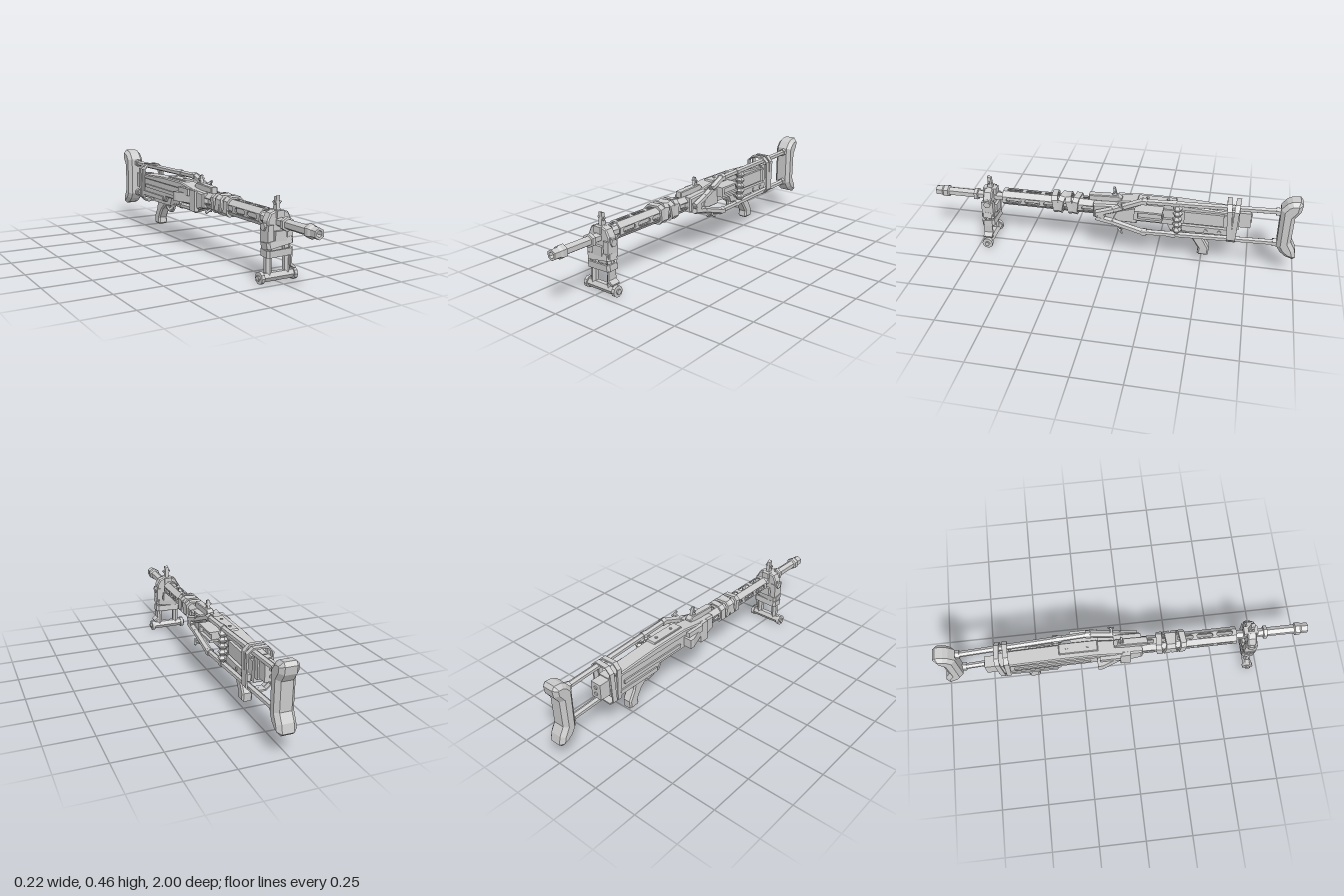
import * as THREE from 'three';

const mat = new THREE.MeshStandardMaterial({ color: 0xcccccc, flatShading: true, side: THREE.DoubleSide });
const V = (x, y, z) => new THREE.Vector3(x, y, z);

export function createModel() {
  const root = new THREE.Group();
  const add = (name, geo, parent = root) => {
    const m = new THREE.Mesh(geo, mat);
    m.name = name;
    parent.add(m);
    return m;
  };
  // box given by its limits on each axis
  const box = (name, x0, x1, y0, y1, z0, z1) => add(name,
    new THREE.BoxGeometry(x1 - x0, y1 - y0, z1 - z0).translate((x0 + x1) / 2, (y0 + y1) / 2, (z0 + z1) / 2));
  const shapeOf = pts => new THREE.Shape(pts.map(p => new THREE.Vector2(p[0], p[1])));
  const extrude = (shape, depth, bevel = 0) => new THREE.ExtrudeGeometry(shape, {
    depth: depth - 2 * bevel, bevelEnabled: bevel > 0, bevelSize: bevel, bevelThickness: bevel,
    bevelOffset: -bevel, bevelSegments: 1, curveSegments: 4 }).translate(0, 0, bevel);
  // side profile of [z, y] points, spanning x0 to x1
  const side = (name, pts, x0, x1, bevel = 0) =>
    add(name, extrude(shapeOf(pts), x1 - x0, bevel).rotateY(-Math.PI / 2).translate(x1, 0, 0));
  // plan outline of [x, z] points, spanning y0 to y1
  const plan = (name, pts, y0, y1) =>
    add(name, extrude(shapeOf(pts), y1 - y0).rotateX(Math.PI / 2).translate(0, y1, 0));
  // straight rod between two points
  const rod = (name, a, b, r, n = 6, r2 = r) => {
    const d = b.clone().sub(a);
    const m = add(name, new THREE.CylinderGeometry(r2, r, d.length(), n));
    m.position.copy(a).add(b).multiplyScalar(0.5);
    m.quaternion.setFromUnitVectors(V(0, 1, 0), d.normalize());
    return m;
  };
  // rectangular strap loop in the xy plane, running along z
  const loop = (name, w, h, len, t, cut = 0.012) => {
    const ring = (a, b, c) => [[-a + c, -b], [a - c, -b], [a, -b + c], [a, b - c], [a - c, b], [-a + c, b], [-a, b - c], [-a, -b + c]];
    const s = shapeOf(ring(w / 2, h / 2, cut));
    s.holes.push(shapeOf(ring(w / 2 - t, h / 2 - t, cut * 0.7)));
    return add(name, extrude(s, len).translate(0, 0, -len / 2));
  };

  // barrel with open hexagonal muzzle
  const BY = 0.29;
  const barrelProfile = [[0.024, 0], [0.024, 0.755], [0.036, 0.757], [0.036, 0.775], [0.025, 0.777], [0.025, 0.925],
    [0.035, 0.93], [0.035, 0.955], [0.028, 0.965], [0.028, 1], [0.016, 1], [0.016, 0.9], [0, 0.9]];
  add('barrel', new THREE.LatheGeometry(barrelProfile.map(p => new THREE.Vector2(p[0], p[1])), 6)
    .rotateX(Math.PI / 2).translate(0, BY, 0));

  // slotted octagonal barrel shroud
  const shroud = new THREE.Group();
  shroud.name = 'barrelShroud';
  shroud.position.set(0, 0.295, 0.03);
  root.add(shroud);
  const L = 0.575, R = 0.043, hw = R * Math.tan(Math.PI / 8);
  for (let k = 0; k < 8; k++) {
    const s = shapeOf([[0, -hw], [L, -hw], [L, hw], [0, hw]]);
    if (k % 2 === 0) for (let i = 0; i < 5; i++) {
      const a = 0.04 + i * 0.107, b = a + 0.085, h = 0.013;
      s.holes.push(shapeOf([[a, -h / 2], [a + 0.01, -h], [b - 0.01, -h], [b, -h / 2], [b, h / 2], [b - 0.01, h], [a + 0.01, h], [a, h / 2]]));
    }
    add('shroudPanel', extrude(s, 0.008).rotateY(-Math.PI / 2).translate(R, 0, 0).rotateZ(k * Math.PI / 4), shroud);
  }

  // cloth bands wound around the shroud
  [[0.305, 0.12, 0.1], [0.268, -0.2, -0.15], [0.225, 0.2, 0.1], [0.188, -0.1, -0.1]].forEach(([z, rx, ry]) => {
    const m = loop('shroudWrap', 0.104, 0.104, 0.032, 0.012, 0.02);
    m.position.set(0, 0.297, z);
    m.rotation.set(rx, ry, 0);
  });

  // front sight on its clamp
  box('frontSightBase', -0.022, 0.022, 0.31, 0.345, 0.645, 0.72);
  side('frontSightPost', [[0.7, 0.34], [0.692, 0.385], [0.695, 0.412], [0.675, 0.405], [0.668, 0.34]], -0.01, 0.01);
  for (const s of [-1, 1]) rod('frontSightWing', V(s * 0.01, 0.37, 0.685), V(s * 0.022, 0.385, 0.685), 0.006, 5);

  // bipod head, legs, foot bar and end discs
  add('bipodHead', extrude(shapeOf([[-0.065, 0.225], [0.065, 0.225], [0.068, 0.3], [0.05, 0.335], [0.02, 0.345],
    [-0.02, 0.345], [-0.05, 0.335], [-0.068, 0.3]]), 0.05, 0.006).translate(0, 0, 0.66));
  box('bipodClamp', -0.032, 0.032, 0.2, 0.25, 0.645, 0.725);
  for (const s of [-1, 1]) {
    rod('bipodLeg', V(s * 0.053, 0.04, 0.695), V(s * 0.053, 0.3, 0.687), 0.018, 6);
    rod('bipodPivot', V(s * 0.04, 0.27, 0.685), V(s * 0.08, 0.27, 0.685), 0.02, 6);
    rod('footDisc', V(s * 0.085, 0.03, 0.695), V(s * 0.103, 0.03, 0.695), 0.03, 10);
    rod('footNut', V(s * 0.1, 0.03, 0.695), V(s * 0.112, 0.03, 0.695), 0.014, 6);
    box('legShoulder', s * 0.055 - 0.016, s * 0.055 + 0.016, 0.195, 0.28, 0.655, 0.72);
  }
  rod('footBar', V(-0.09, 0.031, 0.695), V(0.09, 0.031, 0.695), 0.024, 6);
  [[0.147, 0.03, 0.07], [0.19, 0.14, -0.12]].forEach(([y, rz, rx]) => {
    const m = loop('legStrap', 0.15, 0.072, 0.034, 0.01);
    m.geometry.rotateX(-Math.PI / 2);
    m.position.set(0, y, 0.69);
    m.rotation.set(rx, 0, rz);
  });
  add('strapEnd', extrude(shapeOf([[0.058, 0.135], [0.07, 0.135], [0.068, 0.085], [0.09, 0.068], [0.086, 0.058], [0.06, 0.075]]), 0.05)
    .translate(0, 0, 0.67));

  // rear sight on the shroud
  side('rearSightBase', [[0.12, 0.335], [0.12, 0.368], [-0.04, 0.375], [-0.06, 0.36], [-0.06, 0.335]], -0.02, 0.02, 0.004);
  side('rearSightLeaf', [[-0.005, 0.37], [-0.015, 0.395], [-0.012, 0.418], [-0.022, 0.418], [-0.028, 0.395], [-0.035, 0.37]], -0.008, 0.008);
  for (const s of [-1, 1]) rod('rearSightWing', V(0, 0.385, -0.02), V(s * 0.018, 0.4, -0.02), 0.005, 5);

  // receiver body and top cover
  side('trunnion', [[0.09, 0.255], [0.09, 0.335], [-0.06, 0.345], [-0.06, 0.24], [0.04, 0.24]], -0.055, 0.06, 0.008);
  side('receiver', [[0, 0.25], [0, 0.335], [-0.66, 0.335], [-0.66, 0.22], [-0.36, 0.22], [-0.34, 0.25]], -0.055, 0.03, 0.006);
  side('topCover', [[0.01, 0.33], [-0.02, 0.343], [-0.15, 0.364], [-0.37, 0.364], [-0.64, 0.348], [-0.64, 0.325], [0.01, 0.325]], -0.06, 0.027, 0.006);
  side('coverPlate', [[-0.14, 0.355], [-0.15, 0.372], [-0.35, 0.372], [-0.36, 0.355]], -0.032, 0.027, 0.003);
  for (const z of [-0.2, -0.31]) rod('rivet', V(-0.003, 0.37, z), V(-0.003, 0.377, z), 0.008, 6);
  box('rearCap', -0.05, 0.012, 0.257, 0.345, -0.75, -0.65);
  box('rearCapCollar', -0.058, 0.02, 0.245, 0.35, -0.69, -0.65);
  for (const y of [0.285, 0.32]) rod('rearCapBolt', V(-0.02, y, -0.745), V(-0.02, y, -0.756), 0.01, 6);

  // left side: feed tray wedge, guide and lower lip
  plan('feedWedge', [[-0.04, -0.02], [-0.062, -0.02], [-0.104, -0.13], [-0.104, -0.155], [-0.04, -0.155]], 0.265, 0.317);
  box('feedGuide', -0.08, -0.05, 0.305, 0.343, -0.14, -0.03);
  box('feedPost', -0.068, -0.045, 0.225, 0.34, -0.03, 0.025);
  box('leftGroove', -0.063, -0.05, 0.275, 0.295, -0.6, -0.19);
  box('leftRidge', -0.063, -0.05, 0.225, 0.25, -0.63, -0.37);

  // right side: sloped housing, charging box and ribs
  side('rightHousing', [[-0.02, 0.265], [-0.04, 0.31], [-0.13, 0.337], [-0.15, 0.337], [-0.15, 0.245], [-0.05, 0.245]], 0.02, 0.062, 0.004);
  side('chargingBox', [[-0.14, 0.29], [-0.14, 0.345], [-0.29, 0.345], [-0.29, 0.335], [-0.16, 0.335], [-0.16, 0.302], [-0.29, 0.302], [-0.29, 0.29]], 0.02, 0.1);
  box('chargingBoxCore', 0.02, 0.085, 0.3, 0.337, -0.285, -0.15);
  box('rightSill', 0.02, 0.045, 0.25, 0.28, -0.35, -0.15);
  box('rightPanel', 0.02, 0.042, 0.265, 0.335, -0.61, -0.4);
  box('rightRib', 0.02, 0.05, 0.22, 0.255, -0.64, -0.39);
  for (const z of [-0.52, -0.59]) rod('panelBolt', V(0.035, 0.235, z), V(0.055, 0.235, z), 0.01, 6);

  // stock rails, upper and lower, converging toward the butt
  const railX = z => 0.02 + 0.05 * (z + 0.95);
  [[0.29, 0.385], [0.265, 0.193]].forEach(([y0, y1]) => {
    const pts = [[0.07, y0], [-0.02, y0 + (y1 - y0) * 0.3], [-0.18, y1], [-0.92, y1]].map(([z, y]) => V(railX(z), y, z));
    for (let i = 0; i < 3; i++) {
      rod('stockRail', pts[i], pts[i + 1], i < 2 ? 0.019 : 0.0165, 6);
      if (i) add('railElbow', new THREE.IcosahedronGeometry(0.02, 0).translate(...pts[i].toArray()));
    }
    [[-0.19, 0.022], [-0.345, 0.02], [-0.885, 0.023]].forEach(([z, r]) =>
      rod('railCollar', V(railX(z), y1, z + 0.014), V(railX(z), y1, z - 0.014), r, 6));
    // wing bolt that clamps the rail
    const dir = Math.sign(y1 - 0.29), wy = dir > 0 ? 0.362 : 0.208;
    rod('wingBolt', V(0.055, wy - 0.015, -0.065), V(0.092, wy + 0.004, -0.065), 0.008, 6);
    for (const s of [-1, 1]) rod('boltWing', V(0.088, wy, -0.065), V(0.092 - s * 0.006, wy + s * 0.012, -0.065 + s * 0.014), 0.006, 5);
  });
  rod('railPivot', V(0.03, 0.28, 0.045), V(0.085, 0.28, 0.045), 0.026, 6);

  // lashing wound between the two rails
  for (let i = 0; i < 5; i++) {
    const y = 0.215 + i * 0.033;
    rod('lashing', V(0.058, y, -0.365), V(0.058, y + 0.0165, -0.367), 0.016, 6, 0.027);
    rod('lashing', V(0.058, y + 0.0165, -0.367), V(0.058, y + 0.033, -0.365), 0.027, 6, 0.016);
  }

  // straps binding rails to the receiver
  [[-0.638, 0.05, 0.04], [-0.672, -0.05, -0.05]].forEach(([z, rx, ry]) => {
    const m = loop('stockStrap', 0.135, 0.232, 0.026, 0.009, 0.03);
    m.position.set(0.005, 0.293, z);
    m.rotation.set(rx, ry, 0);
  });

  // butt pad with a hollowed back
  side('buttPad', [[-0.893, 0.41], [-0.92, 0.445], [-0.945, 0.46], [-0.985, 0.464], [-1, 0.445], [-0.995, 0.405], [-0.968, 0.365],
    [-0.965, 0.215], [-0.99, 0.17], [-1, 0.125], [-0.985, 0.111], [-0.945, 0.125], [-0.915, 0.15], [-0.893, 0.185]], -0.037, 0.063, 0.02);

  // pistol grip, trigger and guard
  side('pistolGrip', [[-0.4, 0.225], [-0.41, 0.185], [-0.45, 0.155], [-0.485, 0.1], [-0.48, 0.068], [-0.49, 0.06], [-0.54, 0.06],
    [-0.543, 0.105], [-0.51, 0.165], [-0.5, 0.225]], -0.03, 0.026, 0.008);
  side('gripFrame', [[-0.3, 0.255], [-0.33, 0.2], [-0.52, 0.195], [-0.56, 0.225], [-0.56, 0.255]], -0.035, 0.025);
  const guard = new THREE.CatmullRomCurve3([V(-0.003, 0.21, -0.325), V(-0.003, 0.172, -0.34), V(-0.003, 0.157, -0.375),
    V(-0.003, 0.162, -0.41), V(-0.003, 0.185, -0.43)]);
  add('triggerGuard', new THREE.TubeGeometry(guard, 10, 0.008, 5));
  side('trigger', [[-0.365, 0.21], [-0.372, 0.185], [-0.362, 0.168], [-0.378, 0.18], [-0.385, 0.21]], -0.009, 0.003);

  return root;
}
